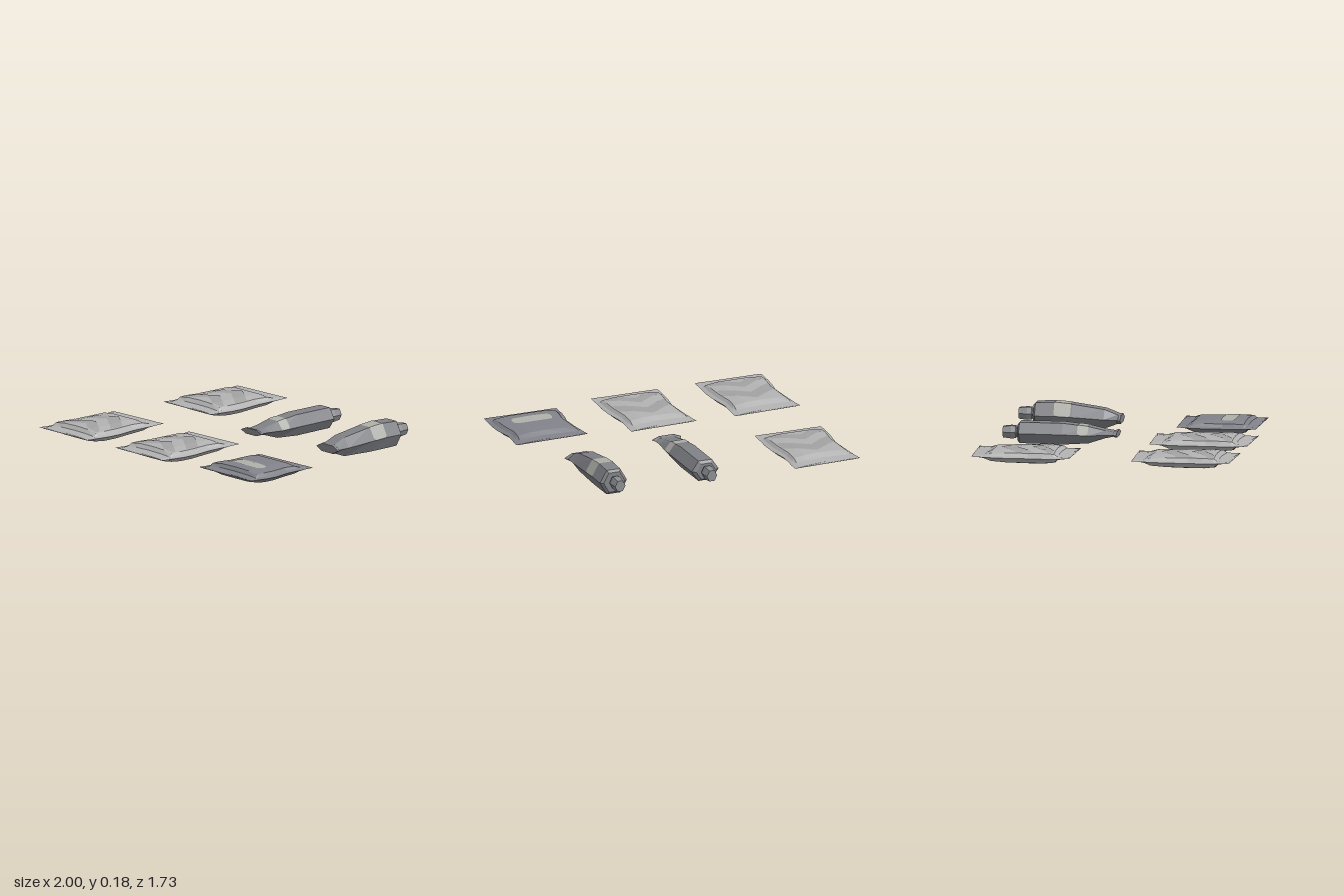
import * as THREE from 'three';

const mat = (name, color, side = THREE.FrontSide) => {
  const m = new THREE.MeshStandardMaterial({ color, side, flatShading: true });
  m.name = name;
  return m;
};
const MATS = {
  foil: mat('light foil', 0xb2b2b2),
  chevron: mat('chevron grey', 0xa2a2a2, THREE.DoubleSide),
  darkFoil: mat('dark foil', 0x82828a),
  tube: mat('tube grey', 0x818287),
  cap: mat('cap grey', 0x8c8d91),
  label: mat('label grey', 0xb0b0aa, THREE.DoubleSide),
};

function meshFrom(points, index, name, material) {
  let g = new THREE.BufferGeometry();
  g.setAttribute('position', new THREE.Float32BufferAttribute(points.flat(), 3));
  g.setIndex(index);
  g = g.toNonIndexed();
  g.computeVertexNormals();
  const mesh = new THREE.Mesh(g, material);
  mesh.name = name;
  return mesh;
}

// Closed skin over rings ordered by rising z, each counterclockwise seen from +z
function loft(rings, name, material) {
  const n = rings[0].length, last = (rings.length - 1) * n, index = [];
  for (let i = 0; i < rings.length - 1; i++) {
    for (let j = 0; j < n; j++) {
      const k = (j + 1) % n, a = i * n + j, b = i * n + k;
      index.push(a, b, a + n, b, b + n, a + n);
    }
  }
  for (let j = 1; j < n - 1; j++) {
    index.push(0, j + 1, j, last, last + j, last + j + 1);
  }
  return meshFrom(rings.flat(), index, name, material);
}

// Thin sheet laid on a surface; at(s, t) gives each point
function sheet(sValues, tCount, at, name, material) {
  const pts = [], index = [], n = tCount + 1;
  sValues.forEach((s, i) => {
    for (let j = 0; j < n; j++) {
      pts.push(at(s, j / tCount));
      if (i && j) {
        const d = i * n + j, c = d - 1, b = d - n, a = b - 1;
        index.push(a, b, c, b, d, c);
      }
    }
  });
  return meshFrom(pts, index, name, material);
}

// Linear interpolation through sorted keys
function lerpTable(keys, values, x) {
  let i = 1;
  while (i < keys.length - 1 && x > keys[i]) i++;
  const t = (x - keys[i - 1]) / (keys[i] - keys[i - 1]);
  return values[i - 1] + (values[i] - values[i - 1]) * Math.min(1, Math.max(0, t));
}

// ---- Sachets: pillow with flat crimped ends ----
const U = [-1, -0.9, -0.83, -0.5, 0, 0.5, 0.83, 0.9, 1];
const W = [0.03, 0.28, 0.68, 0.95, 1, 0.95, 0.68, 0.28, 0.03];
const Z = [-0.33, -0.25, -0.2, -0.1, 0.05, 0.15, 0.225, 0.25, 0.33];
const H = [0.08, 0.3, 0.8, 0.95, 1, 1, 0.85, 0.32, 0.08];
const LEFT = [0.235, 0.23, 0.228, 0.222, 0.215, 0.23, 0.235, 0.235, 0.235];
const RIGHT = [0.235, 0.228, 0.222, 0.214, 0.235, 0.24, 0.236, 0.235, 0.235];

function sachetPoint(u, z, side, lift = 0) {
  const half = lerpTable(Z, u < 0 ? LEFT : RIGHT, z);
  const end = (z / 0.33) ** 2;
  const dz = z < 0
    ? lerpTable([-1, -0.5, 0, 1], [0.015, 0.018, 0.032, -0.005], u)
    : lerpTable([-1, 0, 0.5, 1], [0, -0.012, -0.004, 0.005], u);
  const y = 0.05 + 0.01 * end + side * 0.047 * lerpTable(U, W, u) * lerpTable(Z, H, z);
  return [u * half, y + lift, z + dz * end];
}

function sachet(name, foil) {
  const g = new THREE.Group();
  g.name = name;
  const across = [...U].reverse();
  const rings = Z.map(z => [
    ...across.map(u => sachetPoint(u, z, 1)),
    ...U.slice(1, -1).map(u => sachetPoint(u, z, -1)),
  ]);
  g.add(loft(rings, 'pouch', foil));
  return g;
}

function lightSachet(x, z) {
  const g = sachet('lightSachet', MATS.foil);
  g.position.set(x, 0, z);
  const steps = [-0.8, -0.65, -0.5, -0.25, 0, 0.25, 0.5, 0.65, 0.8];
  // Printed chevrons pointing to the back
  for (const [apex, width] of [[-0.16, 0.11], [0.05, 0.09]]) {
    g.add(sheet(steps, 6, (u, t) => {
      const zz = Math.min(0.215, apex + Math.abs(u) * 0.17 + t * width);
      return sachetPoint(u, zz, 1, 0.0025);
    }, 'chevron', MATS.chevron));
  }
  return g;
}

function darkSachet(x, z) {
  const g = sachet('darkSachet', MATS.darkFoil);
  g.position.set(x, 0, z);
  g.scale.set(1.09, 0.97, 0.81);
  // Rounded label patch
  g.add(sheet([-0.56, -0.53, -0.47, -0.25, 0, 0.25, 0.47, 0.53, 0.56], 4, (u, t) => {
    const half = lerpTable([0, 0.47, 0.53, 0.56], [0.062, 0.056, 0.04, 0.015], Math.abs(u));
    return sachetPoint(u, 0.075 + (t - 0.5) * 2 * half, 1, 0.0025);
  }, 'label', MATS.label));
  return g;
}

// ---- Tubes: six-sided loft, rows are [z, halfWidth, yTop, yBottom] ----
function hexRing([z, w, top, bottom]) {
  const m = (top + bottom) / 2;
  return [[w, m], [w / 2, top], [-w / 2, top], [-w, m], [-w / 2, bottom], [w / 2, bottom]]
    .map(([x, y]) => [x, y, z]);
}

function tube(name, x, rows, capY, [z0, z1]) {
  const g = new THREE.Group();
  g.name = name;
  g.position.x = x;
  g.add(loft(rows.map(hexRing), 'tubeBody', MATS.tube));
  const capRows = [[-0.8, 0.036], [-0.745, 0.042], [-0.715, 0.04], [-0.71, 0.032], [-0.69, 0.032]];
  g.add(loft(capRows.map(([z, r]) => hexRing([z, r, capY + r, capY - r])), 'cap', MATS.cap));
  // Label wrapping the top and upper sides
  const zs = rows.map(r => r[0]);
  const column = i => rows.map(r => r[i]);
  g.add(sheet([0, 0.15, 1, 2, 2.85, 3], 4, (s, t) => {
    const inset = s === 0 || s === 3 ? 0.018 : 0;
    const z = z0 + inset + t * (z1 - z0 - 2 * inset);
    const ring = hexRing([z, ...[1, 2, 3].map(i => lerpTable(zs, column(i), z))]);
    const k = Math.min(2, Math.floor(s)), f = s - k;
    const px = ring[k][0] + (ring[k + 1][0] - ring[k][0]) * f;
    const py = ring[k][1] + (ring[k + 1][1] - ring[k][1]) * f;
    return [px * 1.025, py + 0.002, z];
  }, 'label', MATS.label));
  return g;
}

export function createModel() {
  const model = new THREE.Group();
  model.name = 'sachetsAndTubes';

  model.add(
    lightSachet(-0.735, -0.53),
    lightSachet(-0.765, 0.53),
    lightSachet(-0.03, 0.53),
    darkSachet(0.735, 0.53),
  );

  model.add(tube('longTube', 0.06, [
    [-0.7, 0.068, 0.122, 0.018], [-0.685, 0.095, 0.14, 0.003], [-0.4, 0.095, 0.14, 0],
    [-0.23, 0.092, 0.122, 0.012], [-0.12, 0.086, 0.098, 0.048], [-0.065, 0.09, 0.09, 0.06],
    [-0.055, 0.102, 0.095, 0.055], [-0.04, 0.102, 0.095, 0.055],
  ], 0.07, [-0.3, -0.23]));

  model.add(tube('fullTube', 0.71, [
    [-0.7, 0.075, 0.155, 0.022], [-0.685, 0.095, 0.17, 0.005], [-0.56, 0.095, 0.175, 0.003],
    [-0.44, 0.095, 0.165, 0.003], [-0.23, 0.091, 0.135, 0.01], [-0.145, 0.09, 0.102, 0.042],
    [-0.135, 0.104, 0.1, 0.042], [-0.12, 0.104, 0.098, 0.045],
  ], 0.093, [-0.56, -0.45]));

  return model;
}
